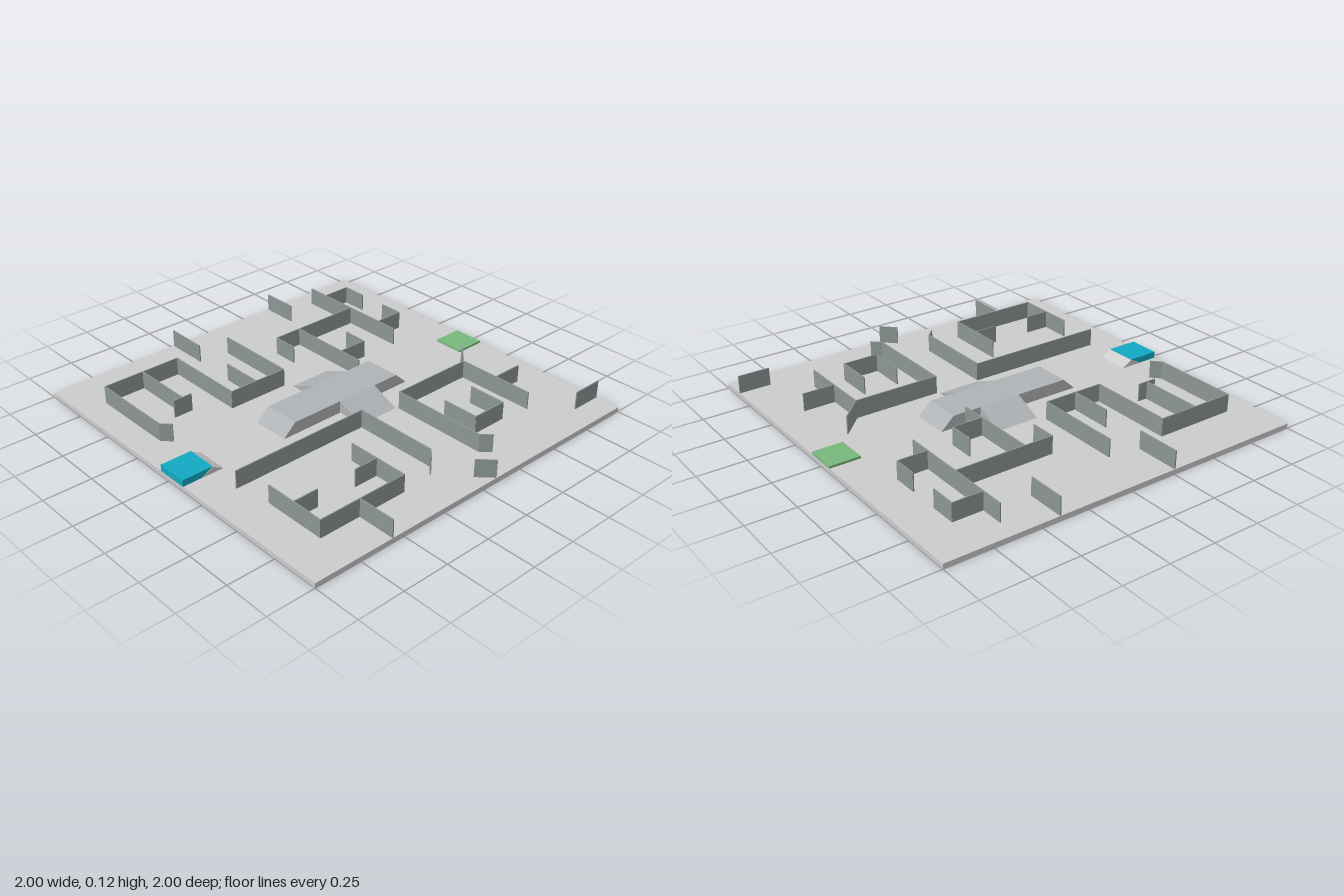
import * as THREE from 'three';

const FLOOR = 0.025, WALL_TOP = 0.12, THICK = 0.006;

const mat = (color) => new THREE.MeshStandardMaterial({ color });
const grey = mat(0xcccccc), wallMat = mat(0x8c9694), rampMat = mat(0xb0b3b5);
const blue = mat(0x12a9c2), green = mat(0x78b87c);

// Box given by its extents
function box(name, x0, x1, y0, y1, z0, z1, material) {
  const mesh = new THREE.Mesh(new THREE.BoxGeometry(x1 - x0, y1 - y0, z1 - z0), material);
  mesh.position.set((x0 + x1) / 2, (y0 + y1) / 2, (z0 + z1) / 2);
  mesh.name = name;
  return mesh;
}

// Profile of [run, height] points extruded across a width
function prism(name, profile, width, material) {
  const shape = new THREE.Shape(profile.map(([a, b]) => new THREE.Vector2(a, b)));
  const mesh = new THREE.Mesh(new THREE.ExtrudeGeometry(shape, { depth: width, bevelEnabled: false }), material);
  mesh.name = name;
  return mesh;
}

// Upright wall between two floor points
function wall([x0, z0], [x1, z1]) {
  const len = Math.hypot(x1 - x0, z1 - z0);
  const mesh = new THREE.Mesh(new THREE.BoxGeometry(len + THICK * 0.5, WALL_TOP - FLOOR, THICK), wallMat);
  mesh.position.set((x0 + x1) / 2, (FLOOR + WALL_TOP) / 2, (z0 + z1) / 2);
  mesh.rotation.y = -Math.atan2(z1 - z0, x1 - x0);
  mesh.name = 'wall';
  return mesh;
}

// Wall runs in each quarter of the board, as [x, z] polylines
const quarters = {
  backRightWalls: [
    [[-0.89, -0.64], [-0.22, -0.64]],
    [[-0.635, -0.8], [-0.77, -0.8], [-0.77, -0.64]],
    [[-0.47, -0.8], [-0.34, -0.8], [-0.34, -0.64]],
    [[-0.56, -0.64], [-0.56, -0.105], [-0.425, -0.105]],
    [[-0.56, -0.26], [-0.09, -0.26]],
    [[-0.36, -0.425], [-0.225, -0.425], [-0.225, -0.26]],
    [[-0.997, -0.405], [-0.8, -0.405]],
  ],
  backLeftWalls: [
    [[0.16, -0.77], [0.278, -0.653], [0.705, -0.653]],
    [[0.495, -0.825], [0.495, -0.653]],
    [[0.278, -0.653], [0.278, -0.19], [0.8, -0.19], [0.845, -0.235]],
    [[0.48, -0.49], [0.683, -0.49], [0.683, -0.295], [0.485, -0.295]],
    [[0.865, -0.997], [0.865, -0.83]],
    [[0.925, -0.02], [0.996, -0.09]],
  ],
  frontLeftWalls: [
    [[0.278, 0.83], [0.278, 0.067], [0.735, 0.067], [0.78, 0.112]],
    [[0.46, 0.298], [0.795, 0.298], [0.795, 0.79], [0.46, 0.79]],
    [[0.622, 0.298], [0.622, 0.43]],
    [[0.622, 0.655], [0.622, 0.79]],
    [[0.795, 0.565], [0.997, 0.565]],
  ],
  frontRightWalls: [
    [[-0.74, 0.088], [-0.277, 0.088], [-0.277, 0.42], [-0.735, 0.42],
      [-0.735, 0.855], [-0.27, 0.855], [-0.225, 0.812]],
    [[-0.51, 0.265], [-0.277, 0.265]],
    [[-0.735, 0.632], [-0.395, 0.632]],
    [[-0.395, 0.58], [-0.395, 0.682]],
    [[-0.997, 0.255], [-0.765, 0.255]],
  ],
};

export function createModel() {
  const model = new THREE.Group();
  model.name = 'mazeBoard';
  model.add(box('baseBoard', -1, 1, 0, FLOOR, -1, 1, grey));

  for (const [name, runs] of Object.entries(quarters)) {
    const group = new THREE.Group();
    group.name = name;
    for (const run of runs)
      for (let i = 1; i < run.length; i++) group.add(wall(run[i - 1], run[i]));
    model.add(group);
  }

  // Central cross-shaped bridge with a ramp on each side
  const bridge = new THREE.Group();
  bridge.name = 'centralBridge';
  const top = 0.09;
  const stem = prism('longRamp', [[-0.415, FLOOR], [-0.345, top], [0.33, top], [0.4, FLOOR]].reverse(), 0.2, rampMat);
  stem.rotation.y = Math.PI / 2; // run becomes -z, width becomes +x
  stem.position.x = -0.087;
  const rightArm = prism('rightSideRamp', [[-0.24, FLOOR], [-0.087, FLOOR], [-0.087, top]], 0.232, rampMat);
  rightArm.position.z = -0.173;
  const leftArm = prism('leftSideRamp', [[0.113, FLOOR], [0.265, FLOOR], [0.113, top]], 0.232, rampMat);
  leftArm.position.z = -0.177;
  bridge.add(stem, rightArm, leftArm);
  model.add(bridge);

  // Start pad at the back, raised finish pad with its ramp at the front
  model.add(box('startPad', -0.08, 0.087, FLOOR, 0.037, -1, -0.838, green));
  model.add(box('finishPad', -0.058, 0.11, FLOOR, 0.06, 0.832, 1, blue));
  const ramp = prism('finishRamp', [[-0.895, FLOOR], [-0.775, FLOOR], [-0.835, 0.059]], 0.172, grey);
  ramp.rotation.y = Math.PI / 2;
  ramp.position.x = -0.06;
  model.add(ramp);
  return model;
}
